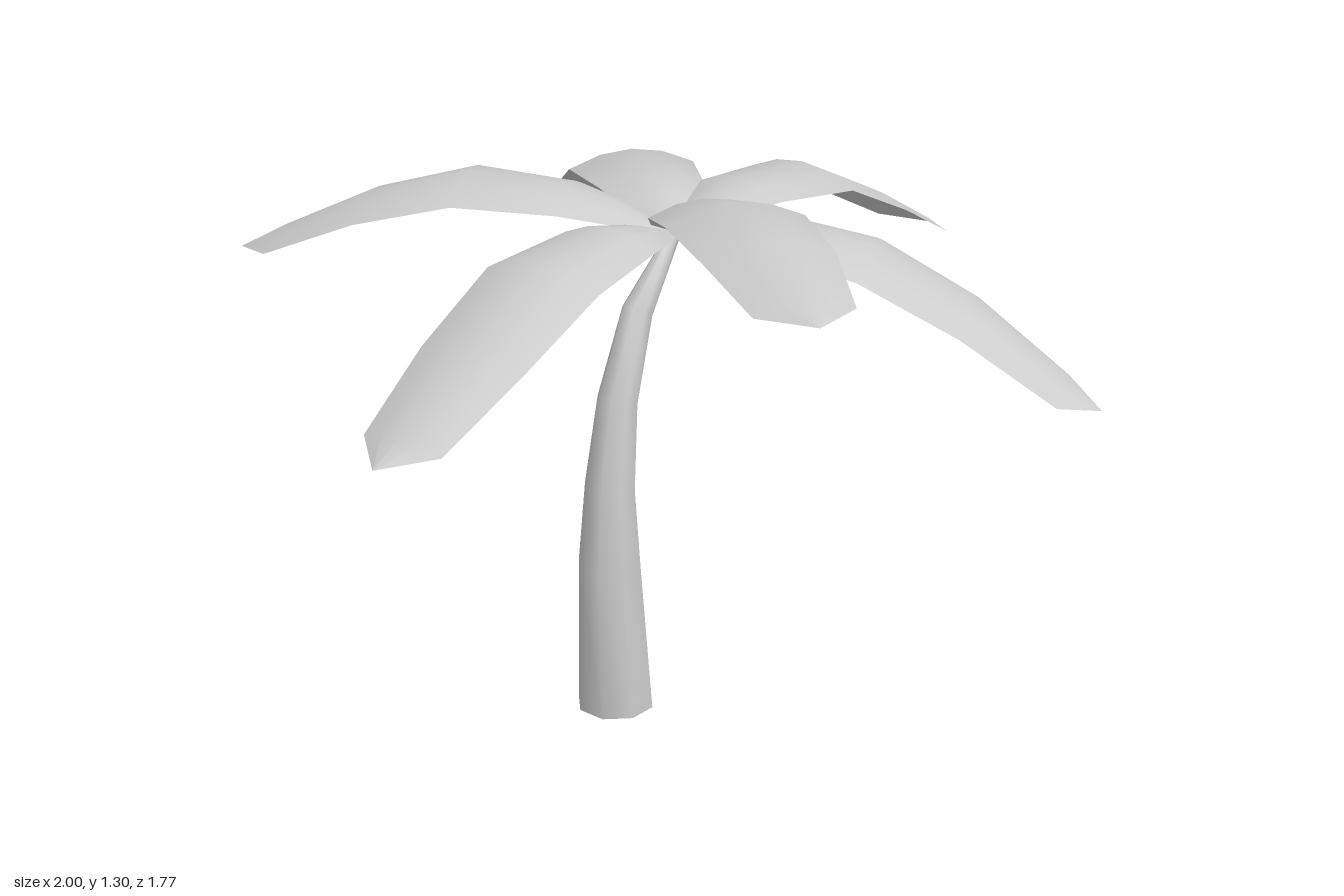
import * as THREE from 'three';

const material = new THREE.MeshStandardMaterial({ color: 0xcccccc, side: THREE.DoubleSide });

// Smooth surface through rows of points; closed joins the last column to the first.
function skin(rows, closed) {
  const n = rows[0].length;
  const index = [];
  for (let i = 0; i < rows.length - 1; i++) {
    for (let j = 0; j < (closed ? n : n - 1); j++) {
      const k = (j + 1) % n;
      const a = i * n + j, b = a + n, c = (i + 1) * n + k, d = i * n + k;
      index.push(a, b, c, a, c, d);
    }
  }
  const geometry = new THREE.BufferGeometry().setFromPoints(rows.flat());
  geometry.setIndex(index);
  geometry.computeVertexNormals();
  return geometry;
}

// Bent, tapering trunk, open at the base: [x, y, radius]
function trunk() {
  const path = [
    [-0.215, 0, 0.09], [-0.231, 0.36, 0.074], [-0.228, 0.55, 0.059],
    [-0.2, 0.75, 0.047], [-0.132, 0.94, 0.036], [-0.01, 1.085, 0.016],
  ];
  const sides = 8;
  const rows = path.map(([x, y, r], i) => {
    const p = path[Math.max(i - 1, 0)], q = path[Math.min(i + 1, path.length - 1)];
    const lean = i === 0 ? 0 : Math.atan2(q[0] - p[0], q[1] - p[1]);
    return Array.from({ length: sides }, (_, j) => {
      const a = ((j + 0.5) / sides) * Math.PI * 2;
      const u = Math.cos(a) * r;
      return new THREE.Vector3(x + u * Math.cos(lean), y - u * Math.sin(lean), 0.02 + Math.sin(a) * r);
    });
  });
  return skin(rows, true);
}

// Arched leaf with drooping edges, from the crown to a pointed tip
const stations = [0, 0.12, 0.23, 0.46, 0.69, 0.91, 1];
const halfWidths = [0, 0.085, 0.122, 0.15, 0.138, 0.104, 0];
function leaf(tipX, tipZ, heights) {
  const baseZ = 0.012;
  const dx = tipX, dz = tipZ - baseZ, len = Math.hypot(dx, dz);
  const rows = stations.map((t, i) => [-1, -0.5, 0, 0.5, 1].map((v) => {
    const w = halfWidths[i] * v;
    return new THREE.Vector3(
      dx * t + (dz / len) * w,
      heights[i] - 0.27 * halfWidths[i] * v * v,
      baseZ + dz * t - (dx / len) * w,
    );
  }));
  return skin(rows, false);
}

export function createModel() {
  const group = new THREE.Group();
  const add = (name, geometry) => {
    const mesh = new THREE.Mesh(geometry, material);
    mesh.name = name;
    group.add(mesh);
  };

  add('trunk', trunk());

  // Leaf tips and spine heights
  const level = [1.09, 1.135, 1.16, 1.145, 1.035, 0.91, 0.86];
  const low = [1.09, 1.125, 1.14, 1.1, 0.985, 0.825, 0.76];
  const high = [1.09, 1.175, 1.24, 1.305, 1.3, 1.255, 1.23];
  const raised = [1.09, 1.145, 1.18, 1.2, 1.135, 1.03, 0.98];
  add('leftLeaf', leaf(1, 0.015, level));
  add('frontLeftLeaf', leaf(0.42, 0.885, low));
  add('frontRightLeaf', leaf(-0.57, 0.86, high));
  add('rightLeaf', leaf(-1, 0.08, level));
  add('backRightLeaf', leaf(-0.48, -0.89, raised));
  add('backLeftLeaf', leaf(0.6, -0.785, level));
  return group;
}
